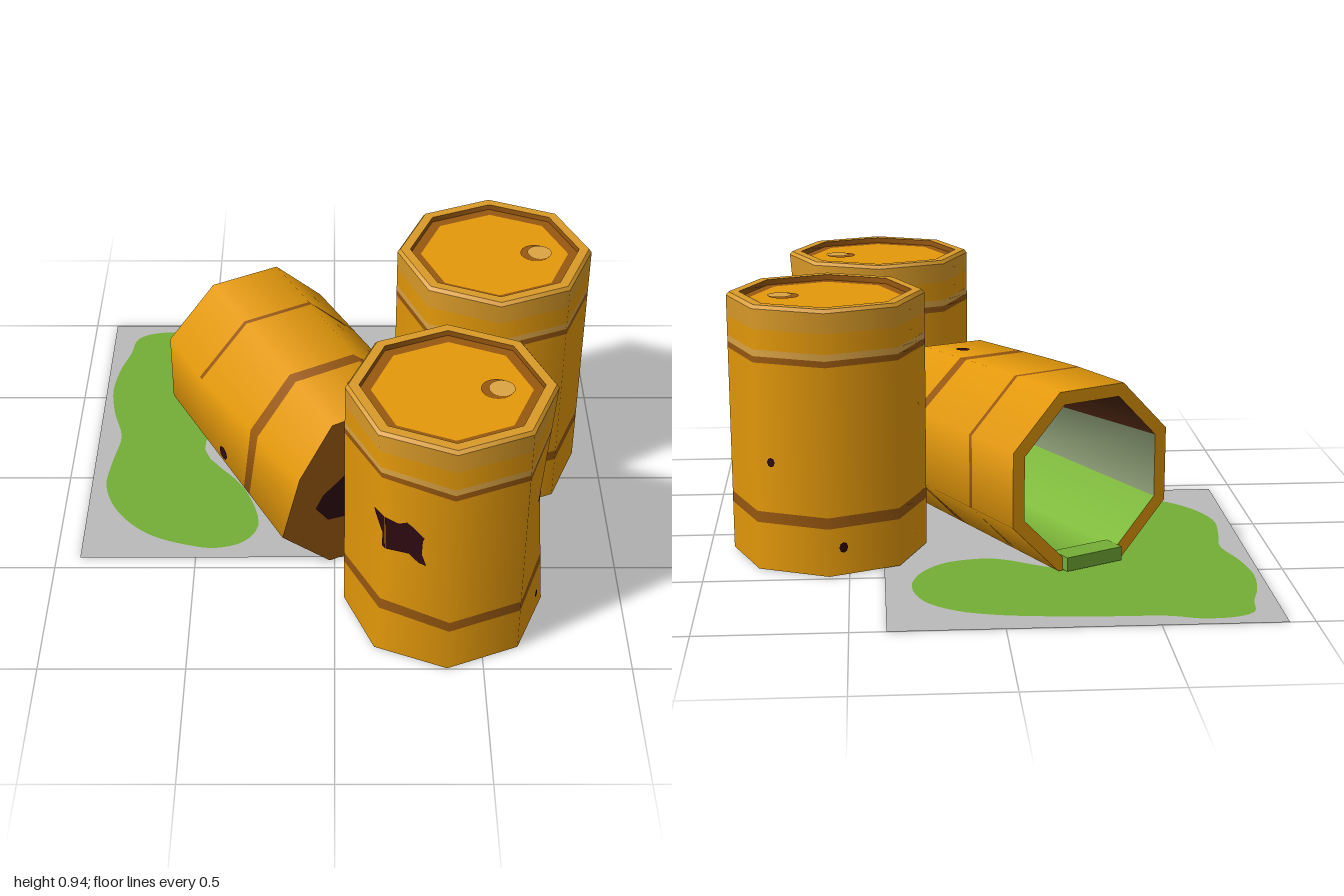
import * as THREE from 'three';

const mat = (name, color, side = THREE.FrontSide) => {
  const m = new THREE.MeshStandardMaterial({ color, side });
  m.name = name;
  return m;
};
const M = {
  orange: mat('orange paint', 0xe4990a),
  pale: mat('faded orange paint', 0xd99a28),
  light: mat('worn light paint', 0xdca444),
  brown: mat('brown band', 0x985810),
  hole: mat('dark hole', 0x2e0a12, THREE.DoubleSide),
  inside: mat('dark inside', 0x4a2410),
  residue: mat('grey green residue', 0x7f8f6a),
  slime: mat('green slime', 0x74ae36, THREE.DoubleSide),
  bright: mat('bright slime', 0x80bc3c),
  grey: mat('grey ground', 0xbababa, THREE.DoubleSide),
};
const R = 0.345, STEP = Math.PI / 4;
const noDent = () => 1;

function add(group, name, geometry, material) {
  const mesh = new THREE.Mesh(geometry, material);
  mesh.name = name;
  group.add(mesh);
}

const flat = points => new THREE.ShapeGeometry(new THREE.Shape(points.map(p => new THREE.Vector2(...p))));

// Eight-sided ring from a [radius, height] profile; dent(corner, y) scales each corner inward
function ring(group, name, material, profile, phi0, dent, first = 0, count = 8) {
  const pts = profile.map(([r, y]) => new THREE.Vector2(r, y));
  const geo = new THREE.LatheGeometry(pts, count, phi0 + first * STEP, count * STEP);
  const pos = geo.attributes.position;
  for (let i = 0; i < pos.count; i++) {
    const corner = (first + Math.floor(i / pts.length)) % 8;
    const f = dent(corner, pos.getY(i));
    pos.setXYZ(i, pos.getX(i) * f, pos.getY(i), pos.getZ(i) * f);
  }
  add(group, name, geo, material);
}

// Straight outer wall through the given heights
const wall = (group, name, material, ys, phi0, dent, first, count) =>
  ring(group, name, material, ys.map(y => [R, y]), phi0, dent, first, count);

// Thin painted patch on wall facet k; outline is [share of facet width, height]
function patch(group, name, k, outline, phi0, dent) {
  const geo = flat(outline);
  const pos = geo.attributes.position;
  const corner = (j, y) => {
    const r = R * dent((j + 8) % 8, y), a = phi0 + j * STEP;
    return new THREE.Vector3(r * Math.sin(a), y, r * Math.cos(a));
  };
  const mid = phi0 + (k + 0.5) * STEP;
  for (let i = 0; i < pos.count; i++) {
    const s = pos.getX(i), y = pos.getY(i);
    const p = corner(k, y).lerp(corner(k + 1, y), s);
    pos.setXYZ(i, p.x + 0.005 * Math.sin(mid), y, p.z + 0.005 * Math.cos(mid));
  }
  geo.computeVertexNormals();
  add(group, name, geo, M.hole);
}

const spot = (s, y, r) => Array.from({ length: 8 }, (_, i) => [
  s + r / 0.264 * Math.cos(i * STEP), y + 1.2 * r * Math.sin(i * STEP)]);

// Lower wall, stripe and rusted-through base shared by all barrels
function barrelBody(phi0, dent, low, high, rust) {
  const g = new THREE.Group();
  wall(g, 'lowerWall', M.orange, [0, low[0]], phi0, dent);
  wall(g, 'lowerStripe', M.brown, low, phi0, dent);
  wall(g, 'middleWall', M.orange, [low[1], 0.465, high], phi0, dent);
  ring(g, 'base', M.brown, [[0, 0], [R, 0]], phi0, dent);
  add(g, 'baseHole', flat(rust).rotateX(Math.PI / 2).translate(0, -0.003, 0), M.hole);
  return g;
}

function uprightBarrel(name, x, z, dent) {
  const rust = [[0.15, 0.13], [0.1, 0.02], [0.03, -0.05], [-0.04, -0.15], [-0.11, -0.11], [-0.13, -0.02],
    [-0.1, 0.07], [-0.09, 0.13], [-0.13, 0.19], [-0.09, 0.23], [-0.02, 0.18], [0.03, 0.12], [0.08, 0.15]];
  const g = barrelBody(0, dent, [0.17, 0.21], 0.735, rust);
  g.name = name;
  g.position.set(x, 0.004, z);
  wall(g, 'upperStripe', M.brown, [0.735, 0.757], 0, dent);
  wall(g, 'wornStripe', M.light, [0.757, 0.78], 0, dent);
  wall(g, 'upperWall', M.orange, [0.78, 0.85], 0, dent);
  wall(g, 'fadedWall', M.pale, [0.85, 0.92], 0, dent);
  // Chamfered rim and sunken lid
  ring(g, 'rimChamfer', M.pale, [[R, 0.92], [0.335, 0.932]], 0, dent);
  ring(g, 'rim', M.pale, [[0.335, 0.932], [0.3, 0.932]], 0, dent);
  ring(g, 'rimInnerWall', M.brown, [[0.3, 0.932], [0.3, 0.912]], 0, noDent);
  ring(g, 'lidGroove', M.brown, [[0.3, 0.912], [0.262, 0.912]], 0, noDent);
  ring(g, 'lid', M.orange, [[0.262, 0.912], [0, 0.912]], 0, noDent);
  const disc = (n, r, dx, y, m) =>
    add(g, n, new THREE.CircleGeometry(r, 20).rotateX(-Math.PI / 2).translate(dx, y, 0), m);
  disc('plugShadow', 0.053, 0.145, 0.915, M.brown);
  disc('plug', 0.043, 0.16, 0.918, M.light);
  return g;
}

// Barrel on its side, crushed at the closed end and open at the other
function fallenBarrel() {
  const phi0 = Math.PI / 8;
  const amount = { 0: 0.07, 7: 0.08, 6: 0.22 };
  const dent = (c, y) => 1 - (amount[c] || 0) * Math.max(0, 1 - y / 0.6);
  const rust = [[-0.19, -0.05], [-0.16, 0], [-0.1, 0.04], [-0.06, 0.07], [0.02, 0.06], [0.08, 0.02],
    [0.1, -0.08], [0.04, -0.14], [-0.06, -0.13], [-0.14, -0.12]];
  const g = barrelBody(phi0, dent, [0.265, 0.31], 0.645, rust.map(([x, z]) => [x, z]));
  g.name = 'fallenBarrel';
  g.rotation.order = 'YXZ';
  g.rotation.set(-Math.PI / 2, THREE.MathUtils.degToRad(28), 0);
  g.position.set(0.1, 0.322, 0.403);
  // The upper stripe survives only on the top and right
  wall(g, 'upperStripe', M.brown, [0.645, 0.662], phi0, dent, 6, 4);
  wall(g, 'strippedWall', M.orange, [0.645, 0.662], phi0, dent, 2, 4);
  wall(g, 'upperWall', M.orange, [0.662, 0.93], phi0, dent);
  ring(g, 'mouthRim', M.orange, [[R, 0.93], [0.295, 0.93]], phi0, dent);
  // Lining: slime below, residue at the sides, dark roof
  const lining = [[0.295, 0.93], [0.295, 0.05]];
  ring(g, 'slimeFloor', M.bright, lining, phi0, dent, 2, 3);
  ring(g, 'darkLining', M.inside, [[0.295, 0.93], [0.295, 0.78]], phi0, dent, 1, 1);
  ring(g, 'sideLining', M.residue, [[0.295, 0.78], [0.295, 0.05]], phi0, dent, 1, 1);
  ring(g, 'sideLining', M.residue, lining, phi0, dent, 5, 1);
  ring(g, 'roofLining', M.inside, lining, phi0, dent, 6, 3);
  ring(g, 'innerEnd', M.residue, [[0.295, 0.05], [0, 0.05]], phi0, dent);
  add(g, 'slimeLip', new THREE.BoxGeometry(0.23, 0.09, 0.05).translate(0, 0.915, -0.29), M.slime);
  patch(g, 'sideHole', 5, spot(0.16, 0.475, 0.025), phi0, dent);
  patch(g, 'topHole', -1, spot(0.68, 0.15, 0.026), phi0, dent);
  return g;
}

// Flat ground sheet with a curved slime puddle let into it
function ground() {
  const g = new THREE.Group();
  g.name = 'ground';
  const outline = [[-0.82, -0.9], [-0.76, -0.94], [-0.64, -0.95], [-0.54, -0.92], [-0.3, -0.91],
    [0, -0.88], [0.15, -0.83], [0.25, -0.74], [0.29, -0.6], [0.26, -0.47], [0.18, -0.37],
    [0.08, -0.33], [-0.02, -0.33], [-0.24, -0.44], [-0.43, -0.36], [-0.5, -0.17], [-0.34, 0.06],
    [-0.28, 0.27], [-0.33, 0.36], [-0.43, 0.395], [-0.53, 0.38], [-0.68, 0.32], [-0.8, 0.2],
    [-0.86, 0.05], [-0.85, -0.1], [-0.83, -0.25], [-0.87, -0.4], [-0.89, -0.55], [-0.87, -0.7],
    [-0.84, -0.8]].map(([x, z]) => new THREE.Vector3(x, -z, 0));
  const edge = new THREE.CatmullRomCurve3(outline, true).getPoints(120).slice(0, -1)
    .map(p => new THREE.Vector2(p.x, p.y));
  const sheet = new THREE.Shape([[-0.915, -0.445], [0.38, -0.445], [0.38, 1], [-0.915, 1]]
    .map(p => new THREE.Vector2(...p)));
  sheet.holes.push(new THREE.Path(edge));
  add(g, 'groundSheet', new THREE.ShapeGeometry(sheet).rotateX(-Math.PI / 2), M.grey);
  add(g, 'slimePuddle', new THREE.ShapeGeometry(new THREE.Shape(edge)).rotateX(-Math.PI / 2), M.slime);
  return g;
}

export function createModel() {
  const model = new THREE.Group();
  model.name = 'leakingBarrels';

  // Front barrel, dented at half height on two corners, with a hole torn around one of them
  const amount = { 2: 0.1, 7: 0.16 };
  const dent = (c, y) => 1 - (amount[c] || 0) * Math.max(0, 1 - Math.abs(y - 0.465) / 0.465);
  const front = uprightBarrel('frontBarrel', 0.378, 0.655, dent);
  patch(front, 'tornHole', -1, [[0, 0.56], [0.2, 0.555], [0.62, 0.62], [0.63, 0.56], [0.56, 0.52],
    [0.54, 0.46], [0.62, 0.42], [0.5, 0.42], [0.35, 0.44], [0, 0.42]], 0, dent);
  patch(front, 'tornHole', -2, [[0.76, 0.56], [1, 0.56], [1, 0.42], [0.93, 0.42], [0.92, 0.47],
    [0.8, 0.53]], 0, dent);
  patch(front, 'smallHole', 1, spot(0.75, 0.515, 0.019), 0, dent);
  patch(front, 'lowHole', 1, spot(0.72, 0.085, 0.012), 0, dent);

  const rear = uprightBarrel('rearBarrel', 0.569, -0.145, noDent);
  patch(rear, 'smallHole', 3, spot(0.22, 0.39, 0.014), 0, noDent);
  patch(rear, 'lowHole', 4, spot(0.2, 0.1, 0.016), 0, noDent);

  model.add(ground(), front, rear, fallenBarrel());
  return model;
}
